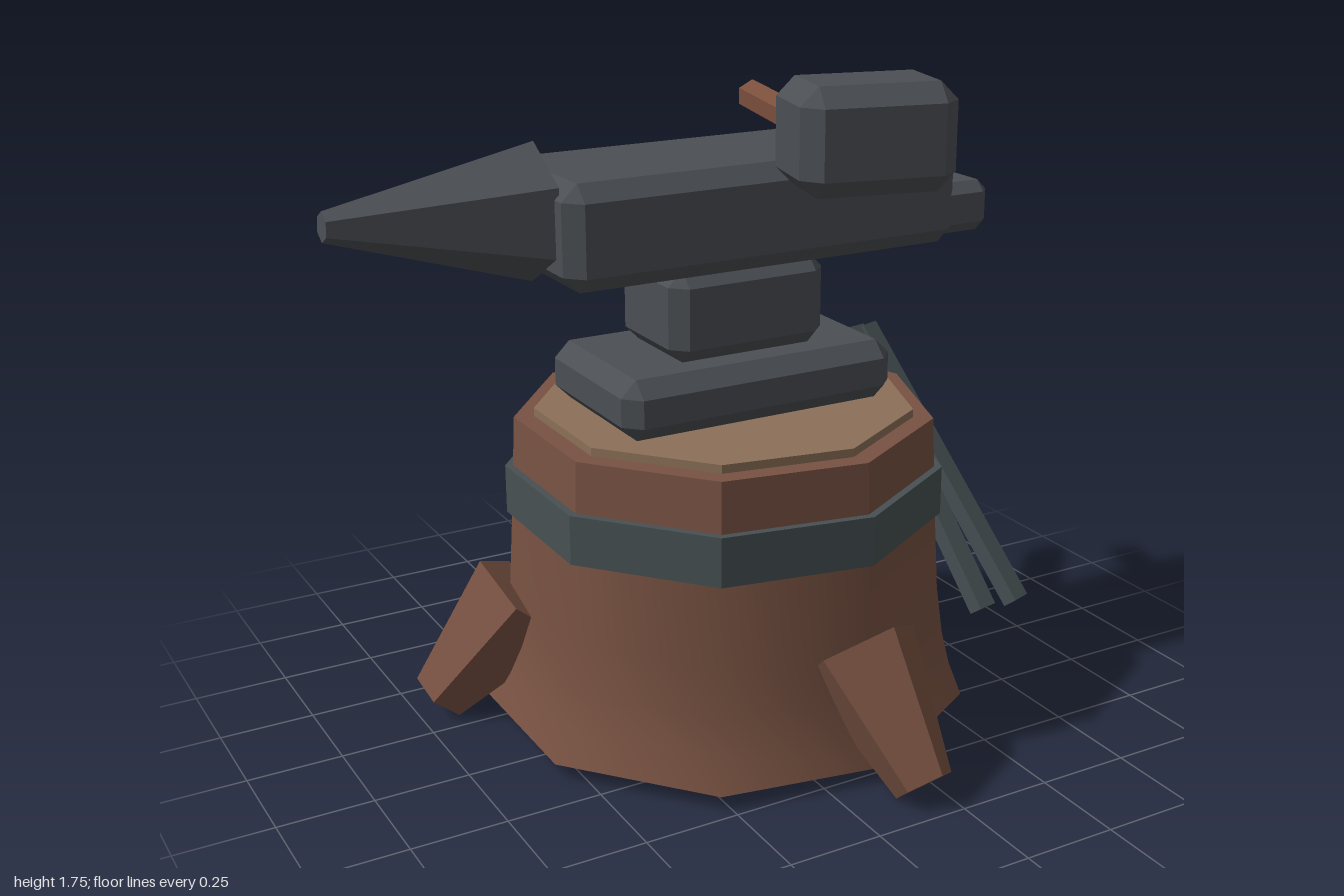
import * as THREE from 'three';
import { ConvexGeometry } from 'three/addons/geometries/ConvexGeometry.js';

const SIDES = 9;
const TURN = Math.PI / 18; // puts a stump corner on the +x axis

const mat = (name, color, flatShading = true) => {
  const m = new THREE.MeshStandardMaterial({ color, flatShading });
  m.name = name;
  return m;
};

// Box with every edge cut by a single flat chamfer c
function chamferBox(w, h, d, c) {
  const pts = [];
  const half = [w / 2, h / 2, d / 2];
  for (const sx of [-1, 1]) for (const sy of [-1, 1]) for (const sz of [-1, 1]) {
    const s = [sx, sy, sz];
    for (let full = 0; full < 3; full++) {
      pts.push(new THREE.Vector3(...half.map((v, i) => s[i] * (i === full ? v : v - c))));
    }
  }
  return new ConvexGeometry(pts);
}

export function createModel() {
  const model = new THREE.Group();
  model.name = 'anvilOnStump';

  const iron = mat('iron', 0x4b4f54);
  const steel = mat('bandSteel', 0x475053);
  const bark = mat('bark', 0x785242);
  const smoothBark = bark.clone();
  smoothBark.flatShading = false;
  const cutWood = mat('cutWood', 0x8c7058);
  const handleWood = mat('handleWood', 0x7a4e3b);

  const add = (parent, name, geo, material, x = 0, y = 0, z = 0) => {
    const m = new THREE.Mesh(geo, material);
    m.name = name;
    m.position.set(x, y, z);
    parent.add(m);
    return m;
  };

  // Stump: smooth flared trunk, faceted rim, iron band, pale cut top
  const stump = new THREE.Group();
  stump.name = 'stump';
  stump.position.set(0.05, 0, -0.1);
  model.add(stump);

  const profile = [[0.655, 0.05], [0.62, 0.14], [0.598, 0.23], [0.58, 0.36], [0.565, 0.6]]
    .map(([r, y]) => new THREE.Vector2(r, y));
  add(stump, 'trunk', new THREE.LatheGeometry(profile, SIDES, TURN), smoothBark);
  add(stump, 'trunkBottom', new THREE.CircleGeometry(0.655, SIDES).rotateX(Math.PI / 2), bark, 0, 0.05, 0);
  const disc = (name, rTop, rBottom, y0, y1, material) =>
    add(stump, name, new THREE.CylinderGeometry(rTop, rBottom, y1 - y0, SIDES, 1, false, TURN),
      material, 0, (y0 + y1) / 2, 0);
  disc('rim', 0.553, 0.565, 0.59, 0.838, bark);
  disc('band', 0.58, 0.58, 0.575, 0.705, steel);
  disc('cutTop', 0.5, 0.5, 0.82, 0.86, cutWood);

  // Three five-sided roots leaning out from the trunk
  for (let i = 0; i < 3; i++) {
    const arm = new THREE.Group();
    arm.name = 'root' + (i + 1);
    arm.rotation.y = TURN + (i * Math.PI * 2) / 3;
    stump.add(arm);
    const start = new THREE.Vector2(0.535, 0.33), end = new THREE.Vector2(0.78, 0.053);
    const root = add(arm, 'rootWood',
      new THREE.CylinderGeometry(0.163, 0.08, start.distanceTo(end), 5), bark,
      0, (start.y + end.y) / 2, (start.x + end.x) / 2);
    root.rotation.x = -Math.atan2(end.x - start.x, start.y - end.y);
  }

  // Anvil blocks: name, x range, y range, z range, chamfer
  const anvil = new THREE.Group();
  anvil.name = 'anvil';
  model.add(anvil);
  for (const [name, x0, x1, y0, y1, z0, z1, c] of [
    ['foot', -0.345, 0.44, 0.862, 1.02, -0.338, 0.132, 0.042],
    ['waist', -0.175, 0.272, 1.018, 1.258, -0.262, 0.058, 0.04],
    ['body', -0.485, 0.635, 1.256, 1.52, -0.327, 0.122, 0.042],
    ['heel', 0.57, 0.755, 1.27, 1.405, -0.297, 0.092, 0.028],
  ]) {
    add(anvil, name, chamferBox(x1 - x0, y1 - y0, z1 - z0, c), iron,
      (x0 + x1) / 2, (y0 + y1) / 2, (z0 + z1) / 2);
  }

  // Six-sided horn, tip slightly raised, ridge on top
  const horn = add(anvil, 'horn',
    new THREE.CylinderGeometry(0.037, 0.172, 0.522, 6, 1, false, Math.PI / 2),
    iron, -0.738, 1.432, -0.103);
  horn.rotation.z = Math.PI / 2 - 0.045;

  // Hammer lying across the anvil
  const hammer = new THREE.Group();
  hammer.name = 'hammer';
  hammer.position.set(0.167, 1.628, 0.365);
  hammer.rotation.y = -0.225;
  model.add(hammer);
  add(hammer, 'hammerHead', chamferBox(0.385, 0.257, 0.262, 0.045), iron);
  add(hammer, 'hammerHandle', new THREE.CylinderGeometry(0.044, 0.044, 0.86, 6).rotateX(Math.PI / 2),
    handleWood, 0, -0.052, -0.45);

  // Two tong bars leaning against the stump
  const tongs = new THREE.Group();
  tongs.name = 'tongs';
  model.add(tongs);
  for (const [xTop, xBottom] of [[0.722, 0.837], [0.768, 0.957]]) {
    const a = new THREE.Vector3(xTop, 0.845, -0.508), b = new THREE.Vector3(xBottom, 0.122, 0.04);
    const mid = a.clone().add(b).multiplyScalar(0.5);
    const bar = add(tongs, 'tongBar', new THREE.BoxGeometry(0.062, 0.048, a.distanceTo(b)),
      steel, mid.x, mid.y, mid.z);
    bar.lookAt(b);
  }
  return model;
}
